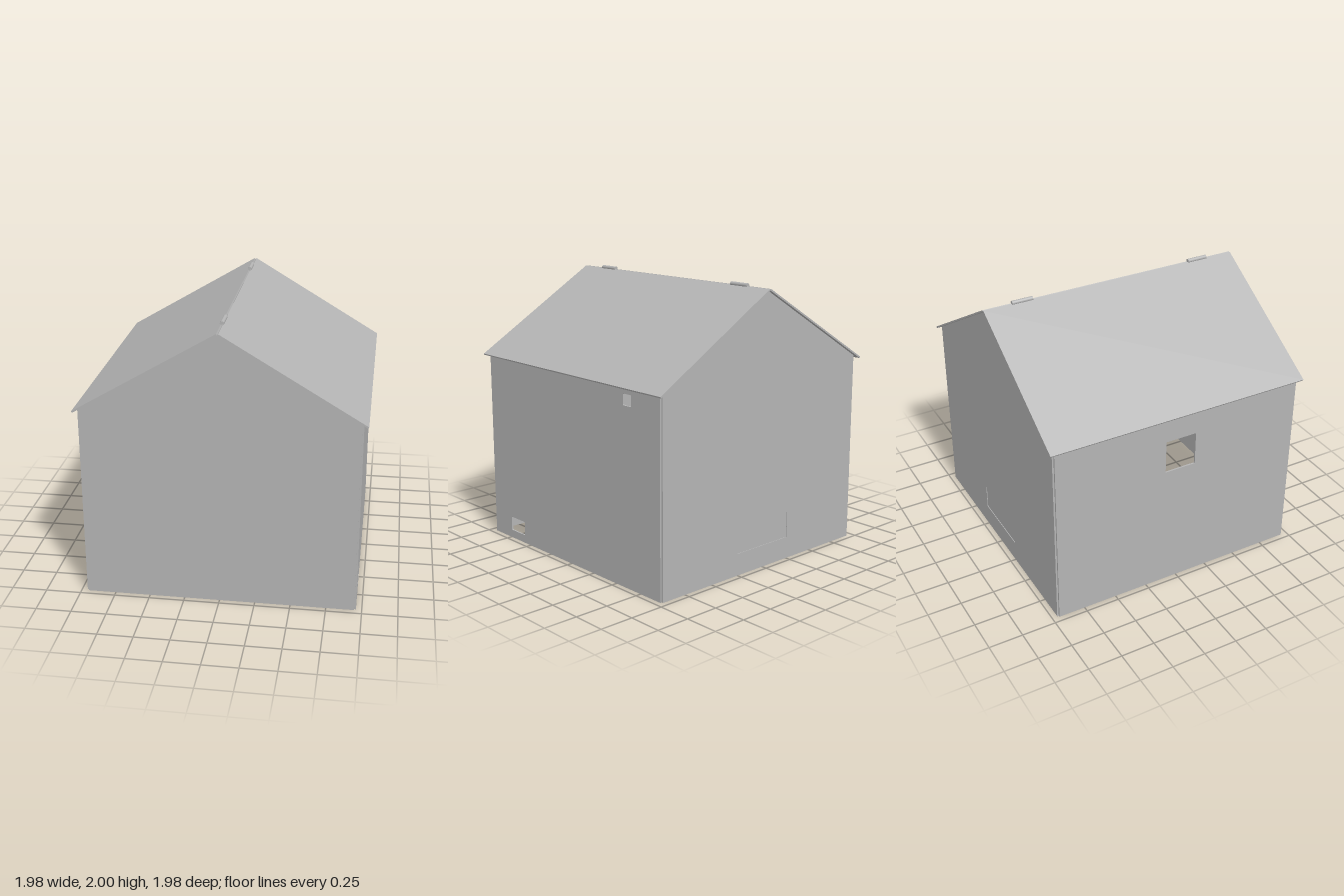
import * as THREE from 'three';

const HALF = 0.948;   // inner half width of the box of walls
const WALL = 0.012;   // panel thickness
const APEX = 1.97;    // height where the roof undersides meet
const EAVE = 1.398;   // top of the side walls
const PITCH = Math.atan(0.595);

// Rectangular outline with optional rounded corners
function rect(P, x0, y0, x1, y1, r = 0) {
  const p = new P();
  p.moveTo(x0 + r, y0);
  p.lineTo(x1 - r, y0);
  if (r) p.quadraticCurveTo(x1, y0, x1, y0 + r);
  p.lineTo(x1, y1 - r);
  if (r) p.quadraticCurveTo(x1, y1, x1 - r, y1);
  p.lineTo(x0 + r, y1);
  if (r) p.quadraticCurveTo(x0, y1, x0, y1 - r);
  p.lineTo(x0, y0 + r);
  if (r) p.quadraticCurveTo(x0, y0, x0 + r, y0);
  return p;
}

function gable() {
  const y = APEX - HALF * 0.595;
  return new THREE.Shape([
    new THREE.Vector2(-HALF, 0), new THREE.Vector2(HALF, 0),
    new THREE.Vector2(HALF, y), new THREE.Vector2(0, APEX), new THREE.Vector2(-HALF, y),
  ]);
}

export function createModel() {
  const model = new THREE.Group();
  model.name = 'house';
  const grey = new THREE.MeshStandardMaterial({ color: 0xb4b4b4 });
  grey.name = 'plain grey';

  // A wall panel whose outer face points along the turned z axis
  function panel(name, shape, turn, holes = [], depth = WALL, inset = 0) {
    for (const h of holes) shape.holes.push(rect(THREE.Path, ...h));
    const geo = new THREE.ExtrudeGeometry(shape, { depth, bevelEnabled: false, curveSegments: 4 });
    geo.translate(0, 0, HALF + inset);
    geo.rotateY(turn);
    const mesh = new THREE.Mesh(geo, grey);
    mesh.name = name;
    model.add(mesh);
  }
  const side = () => rect(THREE.Shape, -HALF, 0, HALF, EAVE);

  // Front wall, and back wall with a shallow sunken plate
  panel('frontWall', gable(), 0);
  panel('backWallInner', gable(), Math.PI, [], 0.007);
  panel('backWallOuter', gable(), Math.PI, [[-0.255, 0.16, 0.255, 0.35]], 0.005, 0.007);

  // Side walls with through openings
  panel('leftWall', side(), Math.PI / 2, [
    [-0.74, 0.06, -0.57, 0.165, 0.006],
    [0.59, 1.268, 0.67, 1.347, 0.006],
  ]);
  panel('rightWall', side(), -Math.PI / 2, [[-0.11, 0.95, 0.125, 1.2]]);

  // Two roof slabs cut square at the ridge, leaving a small groove
  const length = 1.147;
  for (const s of [1, -1]) {
    const geo = new THREE.BoxGeometry(length, WALL, 1.976);
    geo.translate(s * length / 2, WALL / 2, 0);
    geo.rotateZ(-s * PITCH);
    const slab = new THREE.Mesh(geo, grey);
    slab.name = s > 0 ? 'leftRoof' : 'rightRoof';
    slab.position.y = APEX;
    model.add(slab);
  }

  // Hinge barrels on the ridge
  for (const s of [1, -1]) {
    const geo = new THREE.CylinderGeometry(0.015, 0.015, 0.155, 24);
    geo.rotateX(Math.PI / 2);
    const hinge = new THREE.Mesh(geo, grey);
    hinge.name = s > 0 ? 'frontHinge' : 'backHinge';
    hinge.position.set(0, 1.985, s * 0.7);
    model.add(hinge);
  }
  return model;
}
